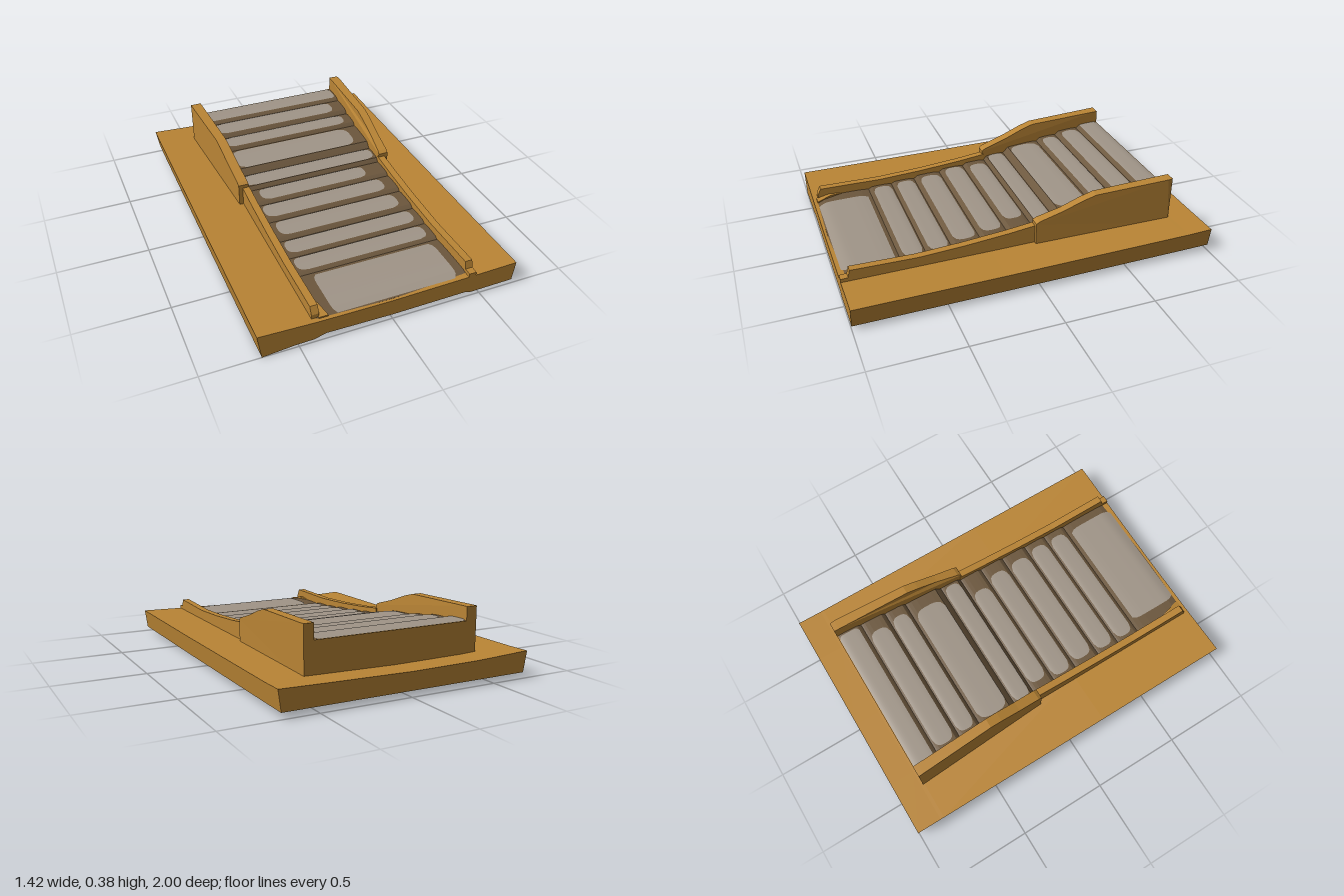
import * as THREE from 'three';

const mat = (name, color) => {
  const m = new THREE.MeshStandardMaterial({ color });
  m.name = name;
  return m;
};

// Piecewise-linear lookup through [key, value] pairs with falling keys
function along(pairs, k) {
  for (let i = 1; i < pairs.length; i++) {
    const [a, va] = pairs[i - 1], [b, vb] = pairs[i];
    if (k >= b) return va + (vb - va) * Math.min(1, Math.max(0, (a - k) / (a - b)));
  }
  return pairs[pairs.length - 1][1];
}

// Side profile of [z, y] points, spanning from x = left(z) to x = right(z)
function prism(profile, left, right) {
  const shape = new THREE.Shape(profile.map(([z, y]) => new THREE.Vector2(-z, y)));
  const g = new THREE.ExtrudeGeometry(shape, { depth: 1, bevelEnabled: false });
  g.rotateY(Math.PI / 2);
  const p = g.attributes.position;
  for (let i = 0; i < p.count; i++) {
    const z = p.getZ(i), t = p.getX(i);
    p.setX(i, left(z) * (1 - t) + right(z) * t);
  }
  g.computeVertexNormals();
  return g;
}

// Loft between cross-sections of [x, y] points, anticlockwise, running from front to back
function loft(sections) {
  const pos = [];
  const n = sections[0].pts.length;
  const put = (s, i) => pos.push(s.pts[i % n][0], s.pts[i % n][1], s.z);
  for (let s = 0; s + 1 < sections.length; s++) {
    const a = sections[s], b = sections[s + 1];
    for (let i = 0; i < n; i++) {
      put(a, i); put(b, i); put(b, i + 1);
      put(a, i); put(b, i + 1); put(a, i + 1);
    }
  }
  const cap = (s, flip) => {
    const pts = s.pts.map(([x, y]) => new THREE.Vector2(x, y));
    for (const [i, j, k] of THREE.ShapeUtils.triangulateShape(pts, [])) {
      for (const v of flip ? [i, k, j] : [i, j, k]) put(s, v);
    }
  };
  cap(sections[0], false);
  cap(sections[sections.length - 1], true);
  const g = new THREE.BufferGeometry();
  g.setAttribute('position', new THREE.Float32BufferAttribute(pos, 3));
  g.computeVertexNormals();
  return g;
}

// Planks: [front z, back z, worn patch left x, worn patch right x]
const PLANKS = [
  [0.985, 0.67, -0.31, 0.38], [0.67, 0.53, -0.36, 0.39], [0.53, 0.39, -0.36, 0.39],
  [0.39, 0.23, -0.35, 0.37], [0.23, 0.08, -0.37, 0.36], [0.08, -0.06, -0.34, 0.31],
  [-0.06, -0.19, -0.39, 0.42], [-0.19, -0.42, -0.385, 0.365], [-0.42, -0.55, -0.385, 0.39],
  [-0.55, -0.70, -0.395, 0.37], [-0.70, -0.845, -0.435, 0.44],
];
const SLOPE = [[0.985, 0.128], [0.7, 0.137], [0.4, 0.155], [-0.06, 0.2], [-0.4, 0.255], [-0.7, 0.295], [-0.845, 0.307]];
const STATIONS = [0, 0.05, 0.1, 0.15, 0.3, 0.5, 0.7, 0.85, 0.94];

// Height of a plank at t (0 front, 1 back): a short riser, then a flatter, slightly crowned tread
function plankY([z0, z1], t) {
  const y0 = along(SLOPE, z0), y1 = along(SLOPE, z1);
  const rise = 0.7 * Math.min(1, t / 0.15) + 0.3 * t;
  return y0 + (y1 - y0) * rise + 0.007 * (1 - Math.pow(Math.abs(2 * t - 1), 4)) - 0.005;
}

export function createModel() {
  const wood = mat('ochre wood', 0xba8535);
  const dark = mat('dark brown', 0x6c573d);
  const grey = mat('worn grey', 0xa09588);
  const group = new THREE.Group();
  const add = (name, geometry, material) => {
    const m = new THREE.Mesh(geometry, material);
    m.name = name;
    group.add(m);
  };

  // Base slab with an uneven underside and a shallow recess below the ramp
  const rim = [[-0.69, 0.003], [-0.52, 0.018], [-0.42, 0.02]];
  const recess = [[-0.36, 0.038], [0, 0.03], [0.42, 0.034]];
  const farRim = [[0.44, 0.024], [0.695, 0.028]];
  const section = (z, blend, lift, recessY) => {
    const level = (pts, y1) => pts.map(([x, y]) => [x, y + (y1 - y) * blend]);
    const top = [[0.71, 0.136], [0.45, 0.13], [0, 0.122], [-0.4, 0.126], [-0.71, 0.139]];
    return {
      z,
      pts: [...level(rim, 0.036), ...level(recess, recessY), ...level(farRim, 0.036),
        ...top.map(([x, y]) => [x, y + lift])],
    };
  };
  add('baseSlab', loft([
    section(1, 0, 0, 0.044), section(0.2, 0.08, 0, 0.044), section(-0.84, 0.8, 0.006, 0.044),
    section(-0.86, 0.82, 0.006, 0.034), section(-1, 1, 0.01, 0.036),
  ]), wood);

  // Ramp body, stepped plank by plank
  const profile = [[0.985, 0.1]];
  for (const p of PLANKS) {
    for (const t of STATIONS) profile.push([p[0] + (p[1] - p[0]) * t, plankY(p, t)]);
  }
  profile.push([-0.845, 0.302], [-0.845, 0.1]);
  const rampLeft = (z) => along([[1, -0.4], [-0.06, -0.41], [-0.85, -0.45]], z);
  const rampRight = (z) => along([[1, 0.44], [-0.06, 0.45], [-0.85, 0.47]], z);
  add('plankRamp', prism(profile, rampLeft, rampRight), dark);

  // Worn patch on every plank, with rounded ends
  PLANKS.forEach((p, n) => {
    const [z0, z1, x0, x1] = p;
    const g = new THREE.PlaneGeometry(1, 1, 1, 12).rotateX(-Math.PI / 2);
    const pos = g.attributes.position;
    const first = n === 0, last = n === PLANKS.length - 1;
    const from = first ? 0.02 : 0.15, to = last ? 0.99 : 0.93;
    for (let i = 0; i < pos.count; i++) {
      const s = 0.5 - pos.getZ(i);
      const t = from + (to - from) * s;
      const e = Math.abs(2 * s - 1);
      const inset = first || last ? 0.02 * e ** 8 : 0.05 * (1 - Math.sqrt(1 - e ** 3));
      const x = pos.getX(i) < 0 ? x0 + inset : x1 - inset;
      pos.setXYZ(i, x, plankY(p, t) + 0.003, z0 + (z1 - z0) * t);
    }
    g.computeVertexNormals();
    add('wornPatch', g, grey);
  });

  // Wall closing the high end
  const wall = new THREE.BoxGeometry(0.9, 0.2, 0.006);
  wall.translate(0.01, 0.204, -0.845);
  add('backWall', wall, wood);

  // Low rails beside the lower half
  const lowTop = [[0.6, 0.186], [0.35, 0.198], [0.1, 0.218], [-0.06, 0.236], [-0.06, 0.1]];
  add('lowRailRight', prism([[0.97, 0.1], [0.97, 0.15], [0.95, 0.19], ...lowTop],
    () => -0.425, () => -0.385), wood);
  add('lowRailLeft', prism([[1, 0.1], [1, 0.15], [0.96, 0.152], [0.95, 0.194], ...lowTop],
    () => 0.428, () => 0.468), wood);

  // Small wedge foot at the lower end of one rail
  add('railFoot', prism([[0.98, 0.1], [0.98, 0.133], [0.9, 0.15], [0.82, 0.14], [0.82, 0.1]],
    () => -0.39, (z) => -0.385 + 0.045 * Math.max(0, (z - 0.82) / 0.16)), wood);

  // Tall rails flaring out towards the high end
  const tall = (backY) => [[-0.05, 0.1], [-0.05, 0.255], [-0.07, 0.268], [-0.2, 0.307], [-0.32, 0.352],
    [-0.39, 0.372], [-0.6, (0.372 + backY) / 2], [-0.82, backY], [-0.848, backY], [-0.848, 0.1]];
  add('tallRailRight', prism(tall(0.379),
    (z) => along([[-0.05, -0.448], [-0.848, -0.494]], z),
    (z) => along([[-0.05, -0.39], [-0.39, -0.412], [-0.848, -0.432]], z)), wood);
  add('tallRailLeft', prism(tall(0.387),
    (z) => along([[-0.05, 0.43], [-0.12, 0.445], [-0.848, 0.452]], z),
    (z) => along([[-0.05, 0.488], [-0.82, 0.51], [-0.848, 0.505]], z)), wood);

  return group;
}
